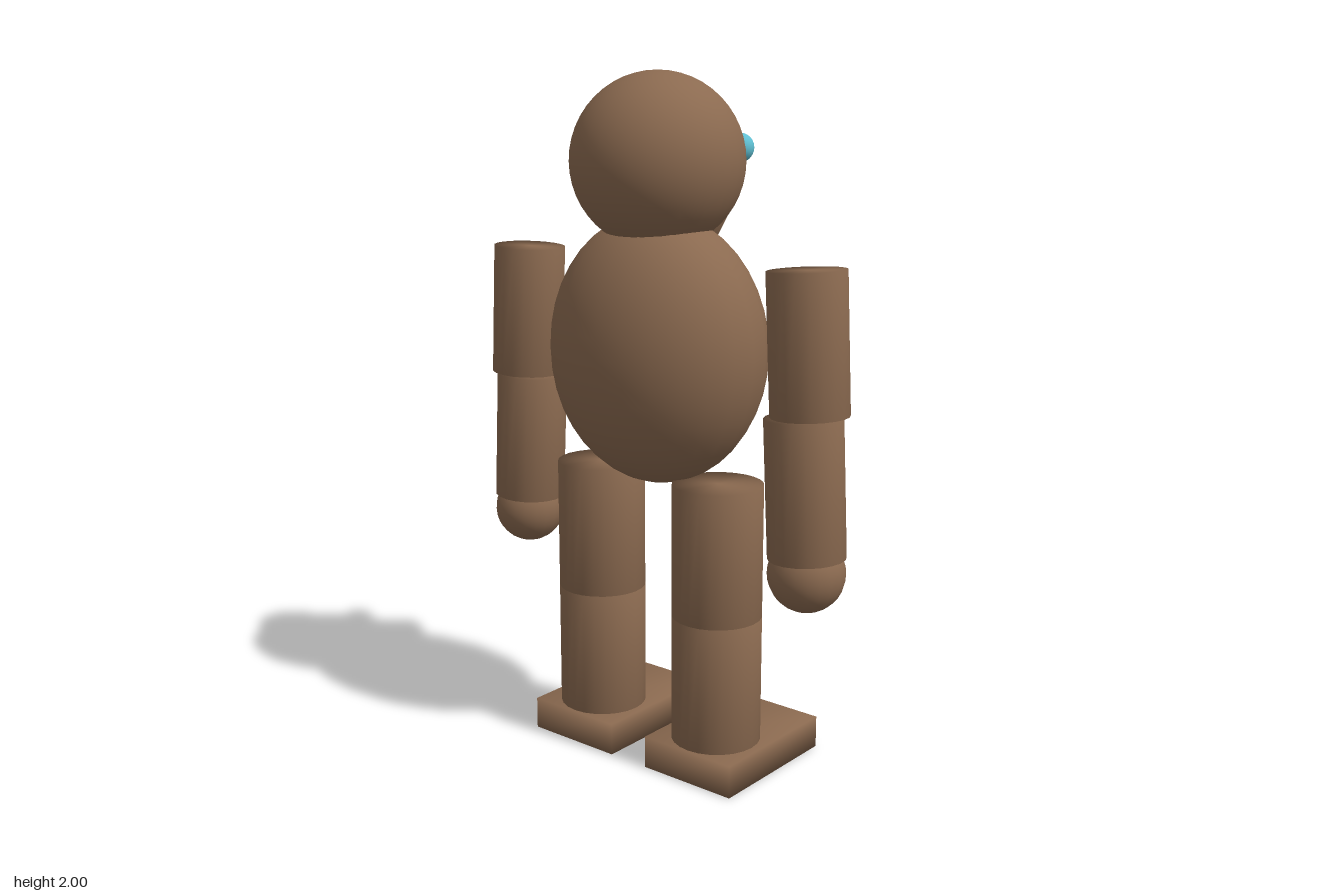
import * as THREE from 'three';
import { mergeVertices } from 'three/addons/utils/BufferGeometryUtils.js';

export function createModel() {
  const model = new THREE.Group();
  const brown = new THREE.MeshStandardMaterial({ color: 0x8b6a50 });
  brown.name = 'brown';
  const cyan = new THREE.MeshStandardMaterial({ color: 0x60bfd2 });
  cyan.name = 'cyan';
  const zMid = 0.021;

  // Weld corners so that normals run smoothly across every edge
  function weld(geometry) {
    geometry.deleteAttribute('normal');
    geometry.deleteAttribute('uv');
    const welded = mergeVertices(geometry);
    welded.computeVertexNormals();
    return welded;
  }

  function add(name, geometry, material, x, y, z) {
    const mesh = new THREE.Mesh(geometry, material);
    mesh.name = name;
    mesh.position.set(x, y, z);
    model.add(mesh);
    return mesh;
  }

  // Head and egg-shaped body
  add('head', new THREE.SphereGeometry(0.247, 32, 24), brown, 0, 1.753, zMid);
  const body = new THREE.SphereGeometry(1, 24, 20);
  body.scale(0.34, 0.39, 0.27);
  add('body', body, brown, 0, 1.225, zMid);

  // Beak: cone pointing down
  const beak = weld(new THREE.ConeGeometry(0.102, 0.21, 24));
  beak.rotateX(Math.PI);
  add('beak', beak, brown, 0, 1.55, -0.189);

  const armPart = weld(new THREE.CylinderGeometry(0.108, 0.108, 0.388, 20));
  const hand = new THREE.SphereGeometry(0.108, 20, 16);
  const upperLeg = weld(new THREE.CylinderGeometry(0.131, 0.131, 0.39, 24));
  const lowerLeg = weld(new THREE.CylinderGeometry(0.131, 0.131, 0.38, 24));
  const foot = weld(new THREE.BoxGeometry(0.31, 0.096, 0.438));
  const eye = new THREE.SphereGeometry(0.042, 16, 12);

  // The face looks along -z, so the pairs are named by the side facing that way
  for (const side of [-1, 1]) {
    const label = side < 0 ? 'left' : 'right';
    add(label + 'Eye', eye, cyan, side * 0.111, 1.786, -0.212);

    // Both arm segments lean slightly outwards
    add(label + 'UpperArm', armPart, brown, side * 0.515, 1.293, zMid).rotation.z = side * 0.052;
    add(label + 'Forearm', armPart, brown, side * 0.515, 0.9, zMid).rotation.z = side * 0.052;
    add(label + 'Hand', hand, brown, side * 0.525, 0.662, zMid);

    add(label + 'UpperLeg', upperLeg, brown, side * 0.22, 0.667, zMid);
    add(label + 'LowerLeg', lowerLeg, brown, side * 0.22, 0.282, zMid);
    add(label + 'Foot', foot, brown, side * 0.22, 0.048, -0.059);
  }
  return model;
}
